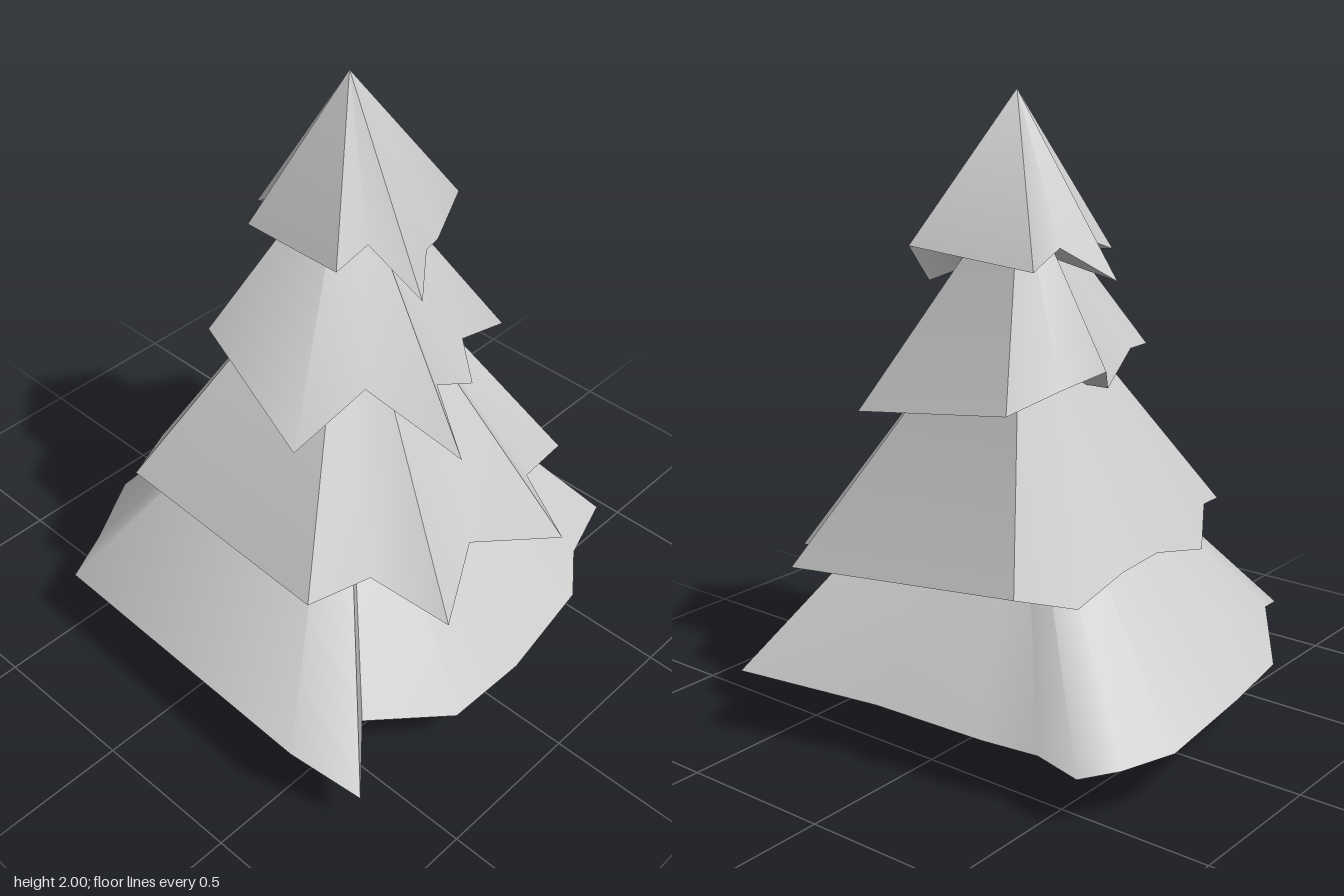
import * as THREE from 'three';
import { toCreasedNormals } from 'three/addons/utils/BufferGeometryUtils.js';

const material = new THREE.MeshStandardMaterial({ color: 0xcccccc });

// A layer of branches: ragged rim fanned up to a tip and closed by a fan beneath.
// The rim runs front left -> front right -> back right -> back left.
function makeTier(name, tip, under, rim) {
  const pos = [];
  rim.forEach((p, i) => {
    const q = rim[(i + 1) % rim.length];
    pos.push(...tip, ...p, ...q, ...under, ...q, ...p);
  });
  const geo = new THREE.BufferGeometry();
  geo.setAttribute('position', new THREE.Float32BufferAttribute(pos, 3));
  const mesh = new THREE.Mesh(toCreasedNormals(geo, 0.9), material);
  mesh.name = name;
  return mesh;
}

// Eight-sided trunk, its oval section changing slightly with height
function makeTrunk() {
  const height = 0.3;
  const geo = new THREE.CylinderGeometry(1, 1, height, 8, 2);
  const pos = geo.attributes.position;
  for (let i = 0; i < pos.count; i++) {
    const y = pos.getY(i) + height / 2;
    const t = Math.min(y / 0.15, 1);
    pos.setXYZ(i,
      0.02 + pos.getX(i) * (0.225 + 0.02 * t), y,
      0.045 + pos.getZ(i) * (0.255 - 0.025 * t));
  }
  const mesh = new THREE.Mesh(toCreasedNormals(geo, 0.9), material);
  mesh.name = 'trunk';
  return mesh;
}

export function createModel() {
  const tree = new THREE.Group();
  tree.name = 'firTree';
  tree.add(makeTrunk());

  // Widest layer, with a swept front left corner and a drooping back skirt
  tree.add(makeTier('bottomBranches', [0.06, 1.14, 0], [0.02, 0.2, 0.04], [
    [-0.76, 0.25, 0.56], [-0.68, 0.155, 0.77], [-0.49, 0.2, 0.6], [-0.24, 0.15, 0.77],
    [0.1, 0.08, 0.74], [0.41, 0.17, 0.725], [0.58, 0.165, 0.6], [0.755, 0.23, 0.56],
    [0.63, 0.2, 0.1], [0.6, 0.19, -0.28], [0.56, 0.18, -0.46], [0.59, 0.17, -0.62],
    [0.49, 0.18, -0.7], [0.34, 0.2, -0.78], [-0.04, 0.22, -0.755], [-0.31, 0.23, -0.72],
    [-0.58, 0.29, -0.53], [-0.73, 0.25, -0.48],
  ]));

  // Lower middle layer
  tree.add(makeTier('lowerMiddleBranches', [0.06, 1.5, 0], [0.04, 0.62, 0], [
    [-0.53, 0.6, 0.41], [-0.31, 0.59, 0.46], [-0.22, 0.49, 0.7], [0.04, 0.56, 0.56],
    [0.32, 0.49, 0.715], [0.42, 0.55, 0.485], [0.61, 0.55, 0.47], [0.655, 0.68, -0.45],
    [0.4, 0.58, -0.48], [0.21, 0.64, -0.5], [0.03, 0.65, -0.5], [-0.22, 0.59, -0.5],
    [-0.37, 0.68, -0.41], [-0.53, 0.65, -0.36],
  ]));

  // Upper middle layer
  tree.add(makeTier('upperMiddleBranches', [0.06, 1.75, 0], [0.05, 1.13, 0], [
    [-0.41, 1.02, 0.24], [-0.16, 1.14, 0.29], [-0.04, 0.96, 0.57], [0.06, 1.08, 0.38],
    [0.22, 1.0, 0.39], [0.31, 1.06, 0.27], [0.47, 1.05, 0.3], [0.5, 1.14, -0.3],
    [0.21, 1.15, -0.27], [0.1, 1.2, -0.355], [0.0, 1.12, -0.29], [-0.16, 1.21, -0.26],
    [-0.32, 1.19, -0.21],
  ]));

  // Pointed crown
  tree.add(makeTier('topBranches', [0.06, 2, 0.01], [0.06, 1.53, 0], [
    [-0.17, 1.51, 0.18], [-0.06, 1.56, 0.2], [0, 1.41, 0.36], [0.14, 1.47, 0.25],
    [0.25, 1.43, 0.2], [0.35, 1.55, 0.19], [0.3, 1.51, -0.24], [0.18, 1.52, -0.19],
    [0.11, 1.55, -0.19], [0, 1.45, -0.32], [-0.04, 1.56, -0.16], [-0.17, 1.51, -0.18],
  ]));

  return tree;
}
